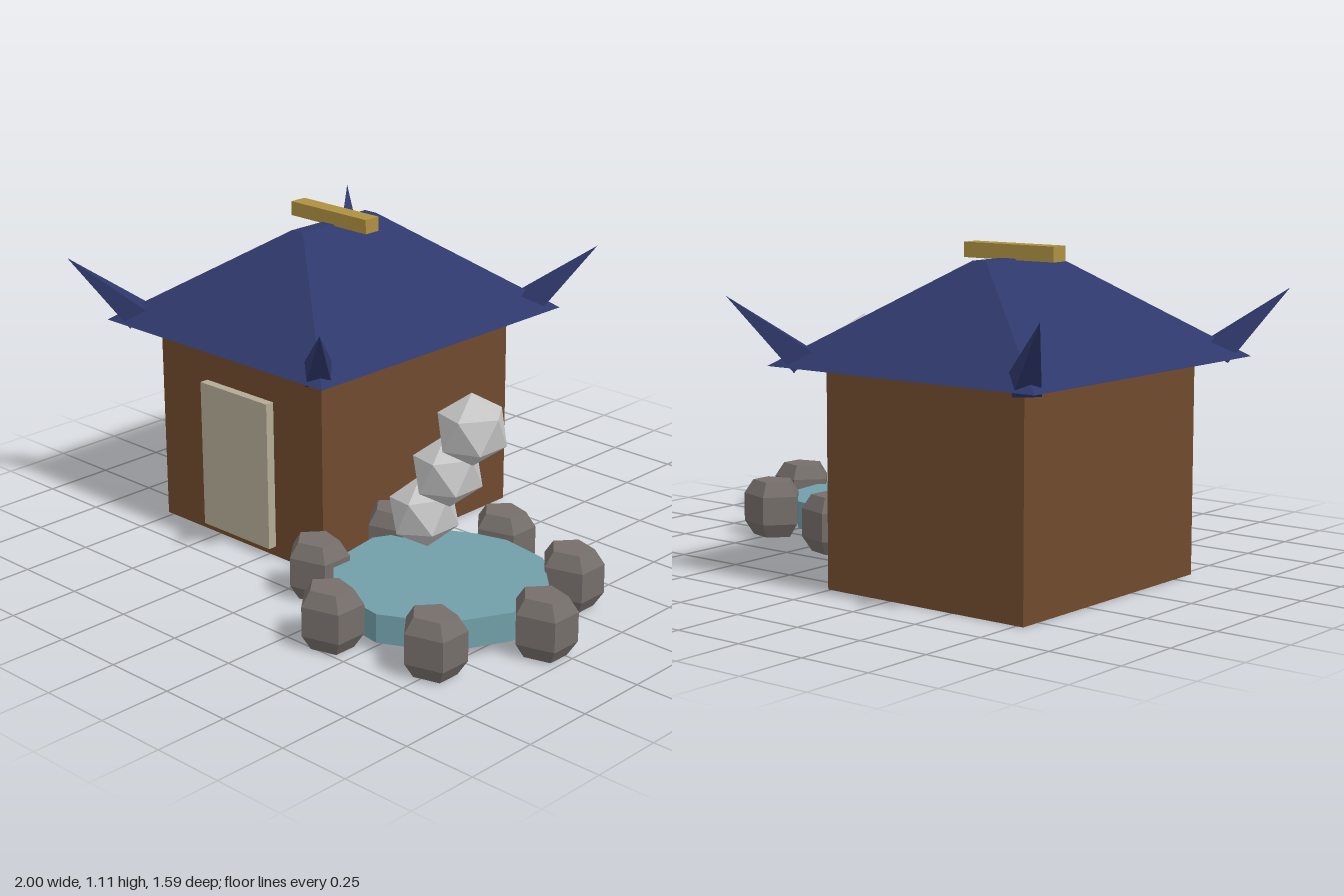
import * as THREE from 'three';

const material = (name, color) => {
  const m = new THREE.MeshStandardMaterial({ color, flatShading: true });
  m.name = name;
  return m;
};

export function createModel() {
  const model = new THREE.Group();
  model.name = 'bathhouse';
  const wood = material('brown wood', 0x6f4a2d);
  const navy = material('navy tile', 0x2f386b);
  const paper = material('pale door', 0xb3ab95);
  const gold = material('gold', 0xae9040);
  const stone = material('grey stone', 0x756e6a);
  const water = material('pool water', 0x719ea8);
  const vapour = material('pale steam', 0xc6c6c6);

  const add = (name, geometry, mat, x, y, z) => {
    const mesh = new THREE.Mesh(geometry, mat);
    mesh.name = name;
    mesh.position.set(x, y, z);
    model.add(mesh);
    return mesh;
  };

  // House
  const hx = -0.383, hz = -0.114;
  add('walls', new THREE.BoxGeometry(0.785, 0.73, 0.923), wood, hx, 0.365, hz);
  add('door', new THREE.BoxGeometry(0.326, 0.525, 0.035), paper, hx, 0.298, 0.362);

  // Hipped roof: a box whose top face is drawn in to a narrow ridge
  const roof = new THREE.BoxGeometry(1.054, 0.333, 1.184);
  const p = roof.attributes.position;
  for (let i = 0; i < p.count; i++) {
    if (p.getY(i) > 0) {
      p.setX(i, Math.sign(p.getX(i)) * 0.027);
      p.setZ(i, Math.sign(p.getZ(i)) * 0.179);
    }
  }
  roof.computeVertexNormals();
  add('roof', roof, navy, hx, 0.8935, hz);
  add('ridgeBeam', new THREE.BoxGeometry(0.36, 0.05, 0.063), gold, hx, 1.08, hz);

  // Upswept four-sided horns at the roof corners
  for (const sx of [-1, 1]) {
    for (const sz of [-1, 1]) {
      const base = new THREE.Vector3(hx + sx * 0.44, 0.743, hz + sz * 0.52);
      const tip = new THREE.Vector3(hx + sx * 0.614, 0.951, hz + sz * 0.685);
      const axis = tip.clone().sub(base);
      const length = axis.length();
      axis.normalize();
      const side = new THREE.Vector3(axis.z, 0, -axis.x).normalize();
      const up = side.clone().cross(axis);
      const horn = new THREE.ConeGeometry(0.062, length, 4, 1, false, Math.PI / 4);
      const c = base.add(tip).multiplyScalar(0.5);
      add('cornerHorn', horn, navy, c.x, c.y, c.z)
        .quaternion.setFromRotationMatrix(new THREE.Matrix4().makeBasis(side, axis, up));
    }
  }

  // Ten-sided pool
  const px = 0.475, pz = 0.281;
  add('pool', new THREE.CylinderGeometry(0.36, 0.36, 0.098, 10, 1, false, Math.PI / 20),
    water, px, 0.083, pz);

  // Ring of bevelled five-sided stones, each with a corner towards -x
  const profile = [[0, -0.1], [0.078, -0.1], [0.113, -0.05], [0.113, 0.05], [0.078, 0.1], [0, 0.1]]
    .map(([r, y]) => new THREE.Vector2(r, y));
  const rock = new THREE.LatheGeometry(profile, 5, -Math.PI / 2);
  rock.scale(1, 1, 0.86);
  for (let i = 0; i < 7; i++) {
    const a = (i / 7) * Math.PI * 2;
    add('rimStone', rock, stone, 0.484 + Math.cos(a) * 0.424, 0.1, pz + Math.sin(a) * 0.424);
  }

  // Rising puffs of steam
  for (let i = 0; i < 3; i++) {
    add('steamPuff', new THREE.IcosahedronGeometry(0.12, 0), vapour,
      0.408 + i * 0.1, 0.333 + i * 0.166, 0.285).rotation.z = -0.42 - i * 0.05;
  }
  return model;
}
